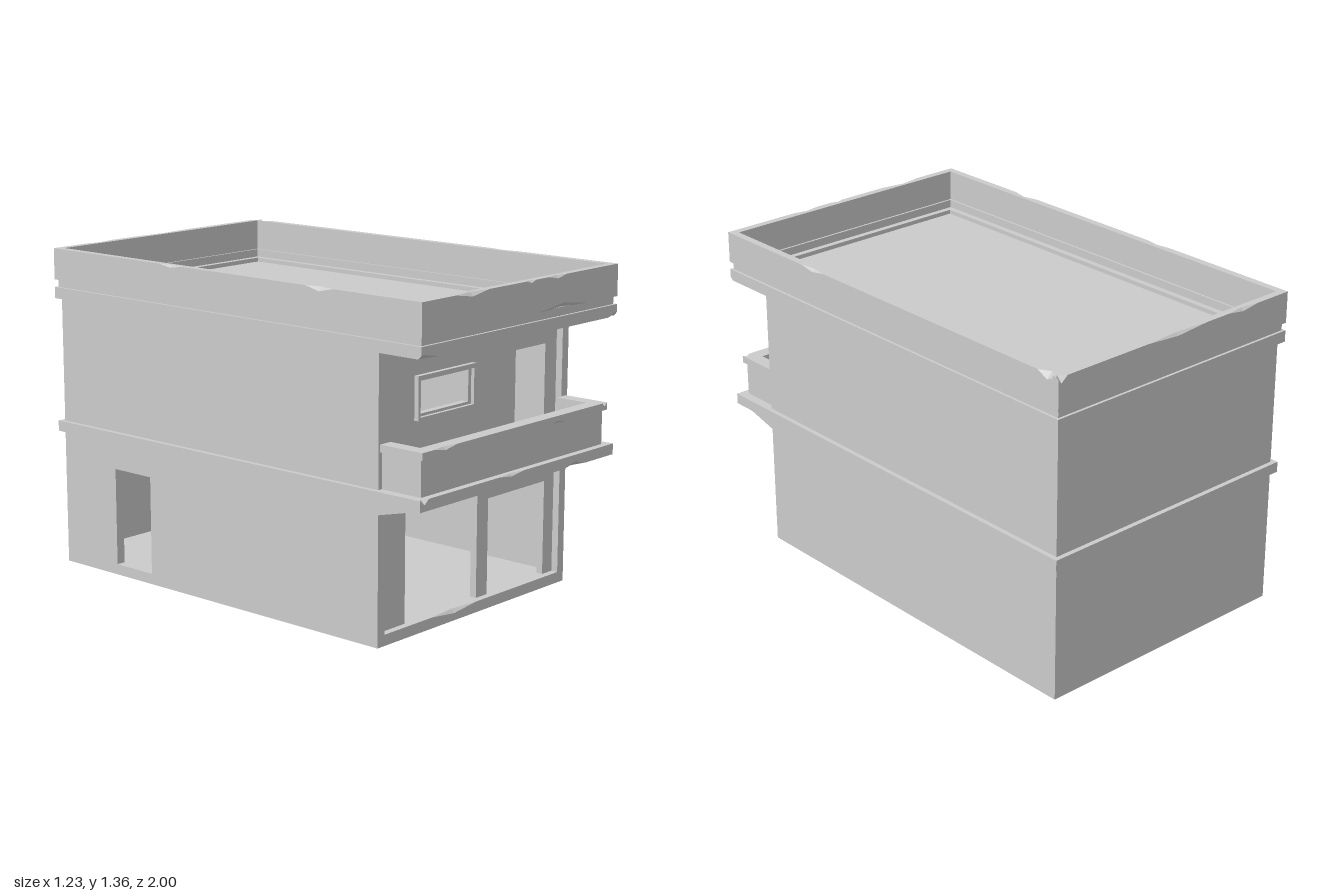
import * as THREE from 'three';

const material = new THREE.MeshStandardMaterial({ color: 0xcccccc, flatShading: true, side: THREE.DoubleSide });

function add(parent, name, geometry, x = 0, y = 0, z = 0, turn = 0) {
  const mesh = new THREE.Mesh(geometry, material);
  mesh.name = name;
  mesh.position.set(x, y, z);
  mesh.rotation.y = turn;
  parent.add(mesh);
  return mesh;
}

// Box given by its limits
function block(parent, name, x0, x1, y0, y1, z0, z1) {
  const g = new THREE.BoxGeometry(x1 - x0, y1 - y0, z1 - z0);
  return add(parent, name, g, (x0 + x1) / 2, (y0 + y1) / 2, (z0 + z1) / 2);
}

// Flat panel from an outline, with rectangular openings [x0, x1, y0, y1]
function panel(points, openings, depth) {
  const shape = new THREE.Shape(points.map(([x, y]) => new THREE.Vector2(x, y)));
  for (const [x0, x1, y0, y1] of openings) {
    shape.holes.push(new THREE.Path([
      new THREE.Vector2(x0, y0), new THREE.Vector2(x0, y1),
      new THREE.Vector2(x1, y1), new THREE.Vector2(x1, y0),
    ]));
  }
  return new THREE.ExtrudeGeometry(shape, { depth, bevelEnabled: false });
}
const rect = (x0, x1, y0, y1) => [[x0, y0], [x1, y0], [x1, y1], [x0, y1]];

// Bar along x whose outer (+z) edges are broken by chips
// chip = [position, half width, size, 1 for top edge or -1 for bottom edge]
function chippedBar(length, height, depth, chips = []) {
  const half = length / 2;
  const stations = [-half, half];
  for (const [t, w] of chips) stations.push(t - w, t, t + w);
  const xs = [...new Set(stations.filter((t) => Math.abs(t) <= half))].sort((a, b) => a - b);
  const cut = (x, edge) => chips.reduce((m, [t, w, s, e]) =>
    (e === edge ? Math.max(m, s * (1 - Math.abs(x - t) / w)) : m), 0);
  const sections = xs.map((x) => {
    const top = cut(x, 1), low = cut(x, -1);
    return [[-depth, 0], [-low, 0], [0, low], [0, height - top], [-top, height], [-depth, height]]
      .map(([z, y]) => new THREE.Vector3(x, y, z));
  });
  const out = [];
  const tri = (a, b, c) => {
    const area = b.clone().sub(a).cross(c.clone().sub(a)).length();
    if (area > 1e-8) for (const p of [a, b, c]) out.push(p);
  };
  for (let i = 0; i + 1 < sections.length; i++) {
    const a = sections[i], b = sections[i + 1];
    for (let j = 0; j < 6; j++) {
      const k = (j + 1) % 6;
      tri(a[j], b[j], b[k]);
      tri(a[j], b[k], a[k]);
    }
  }
  const first = sections[0], last = sections[sections.length - 1];
  for (let j = 1; j < 5; j++) {
    tri(first[0], first[j], first[j + 1]);
    tri(last[0], last[j + 1], last[j]);
  }
  const g = new THREE.BufferGeometry().setFromPoints(out);
  g.computeVertexNormals();
  return g;
}

// Rectangular ring of four bars: front, left, back, right
function ring(parent, name, X, Z, y0, y1, depth, chips = []) {
  const group = new THREE.Group();
  group.name = name;
  parent.add(group);
  ['Front', 'Left', 'Back', 'Right'].forEach((side, i) => {
    const turn = (i * Math.PI) / 2;
    const length = i % 2 ? 2 * (Z - depth) : 2 * X;
    add(group, name + side, chippedBar(length, y1 - y0, depth, chips[i]),
      Math.sin(turn) * X, y0, Math.cos(turn) * Z, turn);
  });
}

export function createModel() {
  const building = new THREE.Group();
  building.name = 'twoStoreyBuilding';

  // Ground floor and outer walls
  add(building, 'groundFloor', chippedBar(1.11, 0.045, 1.72, [[-0.13, 0.14, 0.015, 1]]), 0, 0, 0.78);
  block(building, 'backWall', -0.555, 0.555, 0, 1.15, -0.98, -0.94);
  const sideOutline = [[-0.98, 0], [0.78, 0], [0.78, 0.525], [0.99, 0.577],
    [0.78, 0.577], [0.78, 1.15], [-0.98, 1.15]];
  add(building, 'leftWall', panel(sideOutline, [], 0.04), 0.595, 0, 0, -Math.PI / 2);
  add(building, 'rightWall', panel(sideOutline, [[-0.67, -0.46, 0.045, 0.46]], 0.04),
    -0.555, 0, 0, -Math.PI / 2);

  // Recessed front walls with doorways and a window
  add(building, 'lowerFrontWall', panel(rect(-0.555, 0.555, 0.03, 0.58),
    [[-0.4, 0.045, 0.045, 0.49], [0.115, 0.49, 0.045, 0.445]], 0.03), 0, 0, 0.72);
  add(building, 'upperFrontWall', panel(rect(-0.555, 0.555, 0.6, 1.155),
    [[-0.33, -0.022, 0.862, 0.998], [0.28, 0.478, 0.62, 1.025]], 0.03), 0, 0, 0.72);
  add(building, 'windowOuterFrame', panel(rect(-0.352, 0, 0.843, 1.018),
    [[-0.338, -0.012, 0.855, 1.0]], 0.05), 0, 0, 0.72);
  add(building, 'windowInnerFrame', panel(rect(-0.338, -0.012, 0.855, 1.0),
    [[-0.325, -0.03, 0.866, 0.994]], 0.03), 0, 0, 0.725);

  // Middle slab with its projecting band
  block(building, 'upperFloor', -0.556, 0.556, 0.577, 0.618, -0.941, 0.941);
  ring(building, 'middleBand', 0.615, 1, 0.577, 0.622, 0.06, [
    [[0.35, 0.08, 0.018, -1], [-0.06, 0.08, 0.01, 1], [-0.59, 0.025, 0.02, 1]],
  ]);

  // Balcony parapet and its capping
  const balcony = new THREE.Group();
  balcony.name = 'balcony';
  building.add(balcony);
  add(balcony, 'balconyFront', chippedBar(1.15, 0.148, 0.04), 0, 0.62, 0.97);
  add(balcony, 'balconyCapFront', chippedBar(1.172, 0.03, 0.06,
    [[-0.45, 0.07, 0.012, 1], [0.25, 0.05, 0.01, -1], [0.57, 0.016, 0.014, 1]]), 0, 0.766, 0.985);
  for (const s of [-1, 1]) {
    add(balcony, 'balconySide', chippedBar(0.15, 0.148, 0.04), s * 0.575, 0.62, 0.855, s * Math.PI / 2);
    add(balcony, 'balconyCapSide', chippedBar(0.145, 0.03, 0.06), s * 0.586, 0.766, 0.8525, s * Math.PI / 2);
  }

  // Roof slab, cornice, groove and parapet
  block(building, 'roofSlab', -0.552, 0.552, 1.151, 1.18, -0.936, 0.936);
  ring(building, 'cornice', 0.615, 1, 1.15, 1.198, 0.067, [
    [[-0.605, 0.09, 0.018, -1], [0.605, 0.05, 0.018, -1]],
  ]);
  ring(building, 'roofGroove', 0.604, 0.989, 1.198, 1.232, 0.03);
  ring(building, 'roofParapet', 0.615, 1, 1.23, 1.362, 0.032, [
    [[-0.32, 0.1, 0.016, 1], [0.04, 0.03, 0.01, 1], [0.21, 0.06, 0.012, 1], [0.25, 0.16, 0.02, -1]],
    [[-0.43, 0.07, 0.012, 1], [0.94, 0.05, 0.025, 1]],
    [[0, 0.16, 0.012, 1], [0.36, 0.08, 0.012, 1], [-0.6, 0.03, 0.025, 1]],
    [[0.5, 0.07, 0.016, 1], [-0.3, 0.06, 0.01, 1]],
  ]);

  // Staircase along the back wall, rising towards the right
  const stairs = new THREE.Group();
  stairs.name = 'staircase';
  building.add(stairs);
  add(stairs, 'stairSideWall', panel([[-0.1, 0.045], [0.31, 0.045], [0.31, 0.25],
    [-0.015, 0.577], [-0.1, 0.577]], [], 0.03), 0, 0, -0.72);
  for (let i = 0; i < 11; i++) {
    const x = 0.345 - i * 0.04;
    block(stairs, 'step', x - 0.04, x, 0.045, 0.09 + i * 0.044, -0.94, -0.72);
  }
  return building;
}
